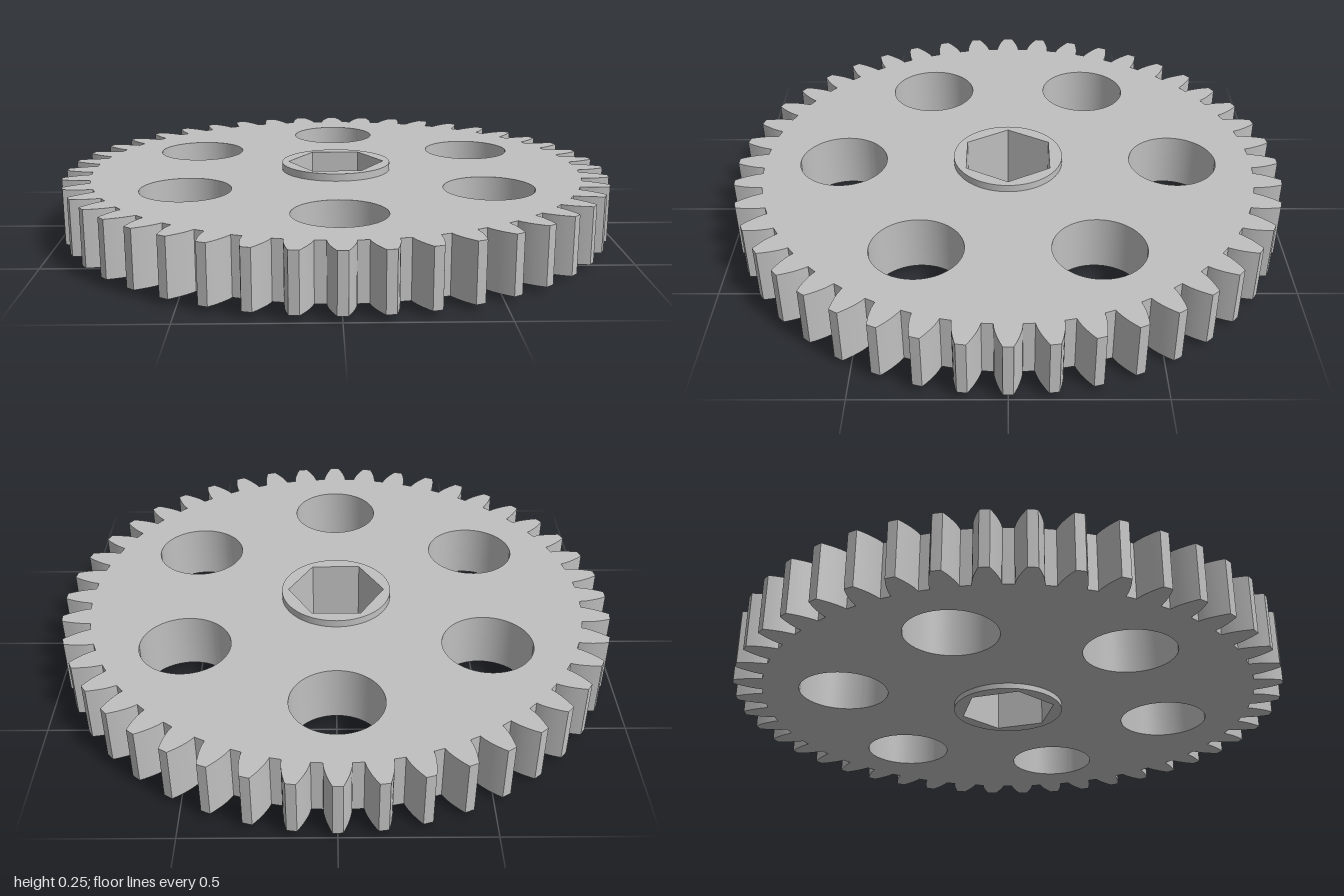
import * as THREE from 'three';
import { toCreasedNormals } from 'three/addons/utils/BufferGeometryUtils.js';

const TEETH = 44;
const TIP = 1, PITCH = 0.9565, ROOT = 0.9;
const BASE = PITCH * Math.cos(Math.PI / 9);

const polar = (r, a) => new THREE.Vector2(r * Math.cos(a), r * Math.sin(a));

// Half the angular width of an involute tooth at radius r
function halfAngle(r) {
  const inv = (a) => Math.tan(a) - a;
  const at = Math.acos(Math.min(1, BASE / r));
  return Math.PI / (2 * TEETH) + inv(Math.PI / 9) - inv(at);
}

// Closed outline of the toothed rim
function gearOutline() {
  const steps = 6, points = [];
  for (let i = 0; i < TEETH; i++) {
    const mid = (i / TEETH) * Math.PI * 2;
    for (const side of [-1, 1]) {
      for (let k = 0; k <= steps; k++) {
        const t = side < 0 ? k / steps : 1 - k / steps;
        const r = ROOT + (TIP - ROOT) * t;
        points.push(polar(r, mid + side * halfAngle(r)));
      }
      if (side < 0) points.push(polar(TIP, mid));
    }
  }
  return new THREE.Shape(points);
}

function circlePath(x, y, r) {
  return new THREE.Path().absarc(x, y, r, 0, Math.PI * 2, true);
}

// Extrude a flat outline upward from y0 to y1
function slab(name, shape, y0, y1, material) {
  let geometry = new THREE.ExtrudeGeometry(shape, {
    depth: y1 - y0, bevelEnabled: false, curveSegments: 48,
  });
  geometry.rotateX(-Math.PI / 2);
  geometry.translate(0, y0, 0);
  geometry = toCreasedNormals(geometry, 0.3);
  const mesh = new THREE.Mesh(geometry, material);
  mesh.name = name;
  return mesh;
}

export function createModel() {
  const group = new THREE.Group();
  group.name = 'spurGear';
  const grey = new THREE.MeshStandardMaterial({ color: 0xc0c0c0 });
  grey.name = 'grey';

  // Toothed disc with six lightening holes around the hub
  const disc = gearOutline();
  disc.holes.push(circlePath(0, 0, 0.2));
  for (let i = 0; i < 6; i++) {
    const c = polar(0.61, Math.PI / 6 + (i * Math.PI) / 3);
    disc.holes.push(circlePath(c.x, c.y, 0.16));
  }
  group.add(slab('toothedDisc', disc, 0.02, 0.22, grey));

  // Raised hub with a hexagonal bore
  const hub = new THREE.Shape().absarc(0, 0, 0.2, 0, Math.PI * 2, false);
  const hex = [];
  for (let i = 0; i < 6; i++) hex.push(polar(0.176, (-i * Math.PI) / 3));
  hub.holes.push(new THREE.Path(hex));
  group.add(slab('hub', hub, 0, 0.247, grey));

  return group;
}
